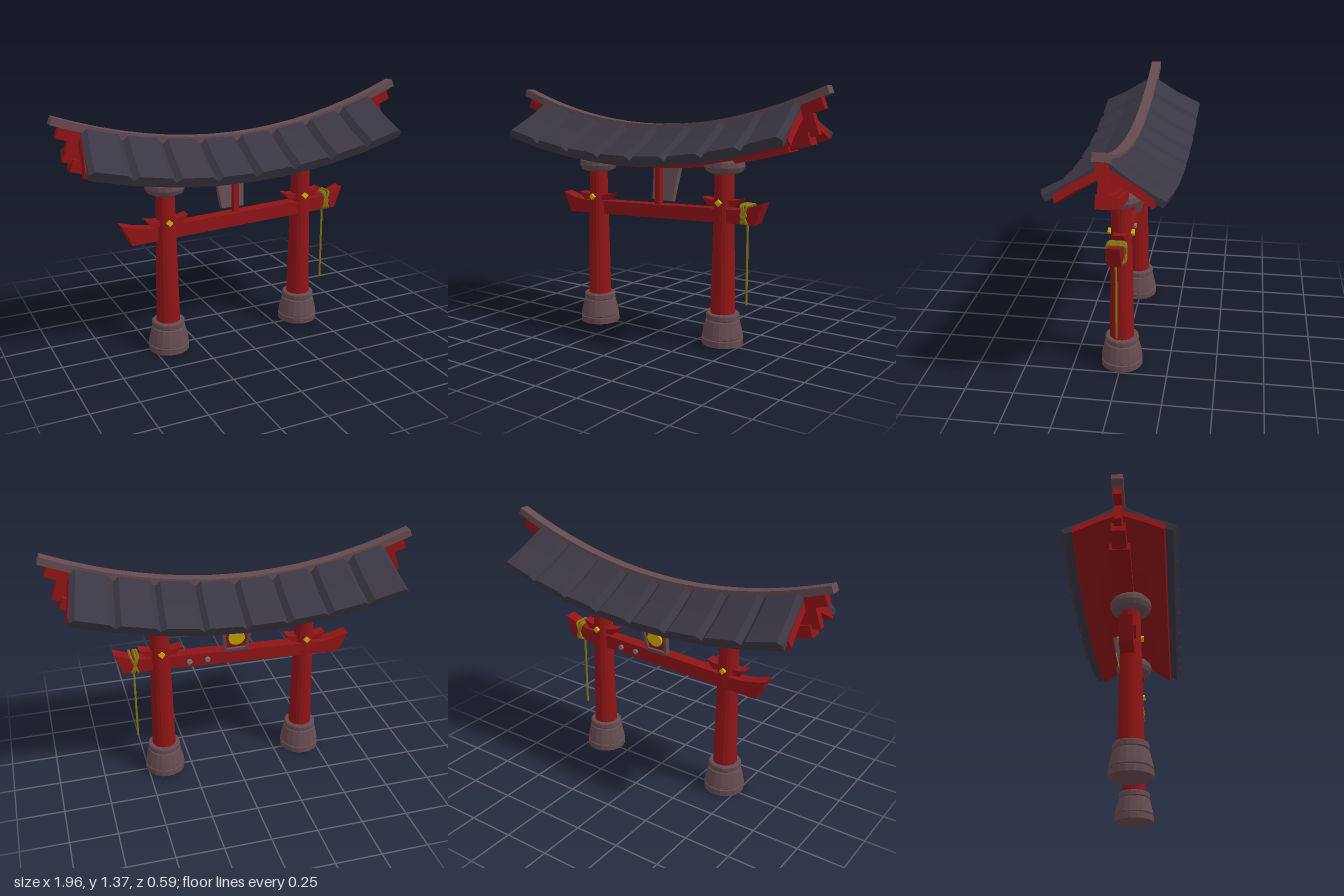
import * as THREE from 'three';

const mat = (color) => new THREE.MeshStandardMaterial({ color, flatShading: true });
const RED = mat(0x8f1416), STONE = mat(0x654b50), TILE = mat(0x3b3643);
const GOLD = mat(0xd0b000), ROPE = mat(0x857712), GREY = mat(0x777777);

function add(parent, name, geometry, material, x = 0, y = 0, z = 0) {
  const mesh = new THREE.Mesh(geometry, material);
  mesh.name = name;
  mesh.position.set(x, y, z);
  parent.add(mesh);
  return mesh;
}

// Closed, flat-shaded solid through equal-sized rings of [x, y, z] points
function loft(rings) {
  const tris = [];
  const n = rings[0].length;
  const centre = (r) => [0, 1, 2].map((k) => r.reduce((s, p) => s + p[k], 0) / n);
  const first = rings[0], last = rings[rings.length - 1];
  for (let j = 0; j < n; j++) {
    const k = (j + 1) % n;
    for (let i = 0; i < rings.length - 1; i++) {
      const a = rings[i][j], b = rings[i][k], c = rings[i + 1][k], d = rings[i + 1][j];
      tris.push([a, b, c], [a, c, d]);
    }
    tris.push([centre(last), last[j], last[k]], [centre(first), first[k], first[j]]);
  }
  // turn the faces outward if the rings run the other way round
  let volume = 0;
  const v = [new THREE.Vector3(), new THREE.Vector3(), new THREE.Vector3()];
  for (const t of tris) {
    t.forEach((p, i) => v[i].set(...p));
    volume += v[0].dot(v[1].cross(v[2]));
  }
  if (volume < 0) tris.forEach((t) => t.reverse());
  const g = new THREE.BufferGeometry();
  g.setAttribute('position', new THREE.Float32BufferAttribute(tris.flat(2), 3));
  g.computeVertexNormals();
  return g;
}

// Upward sweep of the roof, a little higher on one side
const sweep = (x, a = 0.2) => a * x * x + 0.025 * x;

// Carries a [z, y] section along the sweep, square to the curve
function sweptBeam(half, section, steps = 16) {
  const rings = [];
  for (let i = 0; i <= steps; i++) {
    const x = half * (2 * i / steps - 1);
    const slope = 0.4 * x;
    rings.push(section.map(([z, y]) => [x - slope * (y - 1.1), y + sweep(x), z]));
  }
  return loft(rings);
}
const rect = (w, y0, y1) => [[-w, y0], [-w, y1], [w, y1], [w, y0]];

function extrude(points, depth) {
  const shape = new THREE.Shape(points.map(([x, y]) => new THREE.Vector2(x, y)));
  const g = new THREE.ExtrudeGeometry(shape, { depth, bevelEnabled: false });
  return g.translate(0, 0, -depth / 2);
}

const lathe = (points, sides = 18) =>
  new THREE.LatheGeometry(points.map(([r, y]) => new THREE.Vector2(r, y)), sides);

// One roof tile: raised panel with sloping flanks, bent once on its way to the eave
function tile(i, count, side) {
  const stations = [[0.03, 1.14, 0.83], [0.15, 1.065, 0.85], [0.285, 1.0, 0.87]];
  const rings = stations.map(([z, y, half], s) => {
    const x0 = half * (2 * i / count - 1), x1 = half * (2 * (i + 1) / count - 1), f = 0.028;
    const a = 0.2 - 0.015 * s;
    const pt = (x, down) => [x, y + sweep(x, a) - down * 0.88, side * (z - down * 0.45)];
    return [pt(x0, 0.06), pt(x0, 0.028), pt(x0 + f, 0), pt(x1 - f, 0), pt(x1, 0.028), pt(x1, 0.06)];
  });
  return loft(rings);
}

function makeRoof() {
  const roof = new THREE.Group();
  roof.name = 'roof';
  add(roof, 'ridgeBeam', sweptBeam(0.985, rect(0.028, 1.113, 1.15)), STONE);
  add(roof, 'upperBeam', sweptBeam(0.94, rect(0.02, 1.06, 1.115)), RED);
  add(roof, 'webBoard', sweptBeam(0.88, rect(0.018, 0.96, 1.07)), RED);
  add(roof, 'lowerBeam', sweptBeam(0.84, rect(0.035, 0.925, 0.985)), RED);
  add(roof, 'bearingBeam', sweptBeam(0.74, rect(0.05, 0.92, 0.965)), RED);
  for (const side of [1, -1]) {
    const board = [[0, 1.1], [0.14, 1.03], [0.225, 0.972], [0.215, 0.938], [0.13, 0.992], [0, 1.06]];
    add(roof, 'roofBoard', sweptBeam(0.83, board.map(([z, y]) => [side * z, y])), RED);
    for (let i = 0; i < 8; i++) add(roof, 'roofTile', tile(i, 8, side), TILE);
  }
  roof.rotation.y = -0.012;
  roof.position.z = -0.008;
  return roof;
}

// Column with stone foot and cap, wedges and diamond studs
function makePost(x, y, z, capY, beamY) {
  const post = new THREE.Group();
  post.name = 'post';
  post.position.set(x, y, z);
  add(post, 'foot', lathe([[0, 0], [0.11, 0], [0.11, 0.033], [0.104, 0.037], [0.109, 0.042], [0.105, 0.065],
    [0.09, 0.128], [0.083, 0.133], [0.089, 0.138], [0.089, 0.162], [0.083, 0.168], [0, 0.168]]), STONE);
  add(post, 'column', new THREE.CylinderGeometry(0.05, 0.066, capY - 0.1, 18), RED, 0, (capY + 0.12) / 2, 0);
  add(post, 'cap', lathe([[0, 0], [0.07, 0], [0.095, 0.012], [0.106, 0.035], [0.104, 0.06],
    [0.082, 0.085], [0, 0.088]]), STONE, 0, capY, 0);
  const wedge = add(post, 'wedge',
    extrude([[-0.08, 0], [0.08, 0], [0.115, 0.042], [0.07, 0.032], [-0.07, 0.032], [-0.115, 0.042]], 0.06),
    RED, 0, beamY + 0.03, 0);
  wedge.rotation.z = 0.035;
  for (const s of [1, -1]) {
    const stud = add(post, 'diamondStud', new THREE.BoxGeometry(0.025, 0.025, 0.02), GOLD, 0, beamY + 0.05, s * 0.057);
    stud.rotation.z = Math.PI / 4;
  }
  return post;
}

// Tablet leaning over the back of the cross beam
function makePlaque() {
  const plaque = new THREE.Group();
  plaque.name = 'plaque';
  const outline = (k) => [[-0.065 * k, -0.095 * k], [0.065 * k, -0.095 * k], [0.085 * k, 0.095 * k], [-0.085 * k, 0.095 * k]];
  const rim = new THREE.Shape(outline(1).map((p) => new THREE.Vector2(...p)));
  rim.holes.push(new THREE.Path(outline(0.8).map((p) => new THREE.Vector2(...p))));
  add(plaque, 'plaqueRim', new THREE.ExtrudeGeometry(rim, { depth: 0.03, bevelEnabled: false }), STONE, 0, 0, -0.02);
  add(plaque, 'plaqueBack', extrude(outline(0.99), 0.01), STONE, 0, 0, 0.004);
  add(plaque, 'plaquePanel', extrude(outline(0.82), 0.008), RED, 0, 0, -0.004);
  const disc = add(plaque, 'plaqueDisc', new THREE.CylinderGeometry(0.045, 0.045, 0.015, 18), GOLD, 0, -0.005, -0.014);
  disc.rotation.x = Math.PI / 2;
  plaque.position.set(-0.003, 0.825, -0.055);
  plaque.rotation.x = -0.22;
  return plaque;
}

// Rope lashed crosswise around the beam end, with one strand hanging
function makeRope() {
  const rope = new THREE.Group();
  rope.name = 'rope';
  const corners = [[-0.046, -0.03], [-0.036, -0.044], [0.036, -0.044], [0.046, -0.03],
    [0.046, 0.036], [0.036, 0.05], [-0.036, 0.05], [-0.046, 0.036]];
  for (const lean of [-0.38, 0.38, 0.1]) {
    const path = new THREE.CatmullRomCurve3(
      corners.map(([z, y]) => new THREE.Vector3(-lean * y, y, z)), true, 'catmullrom', 0.3);
    add(rope, 'ropeLoop', new THREE.TubeGeometry(path, 40, 0.007, 6, true), ROPE, 0.545, 0.715, 0);
  }
  const knot = add(rope, 'ropeKnot', new THREE.TorusGeometry(0.014, 0.006, 6, 12), ROPE, 0.545, 0.715, 0.048);
  knot.rotation.y = 0.3;
  add(rope, 'hangingStrand', new THREE.CylinderGeometry(0.006, 0.006, 0.44, 8), ROPE, 0.547, 0.46, 0.003);
  return rope;
}

export function createModel() {
  const gate = new THREE.Group();
  gate.name = 'gate';
  gate.add(makeRoof());
  gate.add(makePost(-0.412, 0, 0.018, 0.875, 0.68));
  gate.add(makePost(0.403, 0.01, -0.003, 0.905, 0.707));

  // Cross beam with upturned ends
  const beam = add(gate, 'crossBeam', extrude([[-0.605, -0.036], [0.605, -0.036], [0.655, 0.078], [0.57, 0.05],
    [0.5, 0.037], [-0.5, 0.037], [-0.57, 0.05], [-0.655, 0.078]], 0.07), RED, 0, 0.682, 0.003);
  beam.rotation.z = 0.038;
  add(gate, 'strut', new THREE.BoxGeometry(0.03, 0.22, 0.03), RED, -0.003, 0.82, 0.005);
  for (const x of [0.15, 0.25]) {
    const peg = add(gate, 'peg', new THREE.CylinderGeometry(0.014, 0.014, 0.02, 10), GREY, x, 0.69, -0.036);
    peg.rotation.x = Math.PI / 2;
  }
  gate.add(makePlaque(), makeRope());
  return gate;
}
